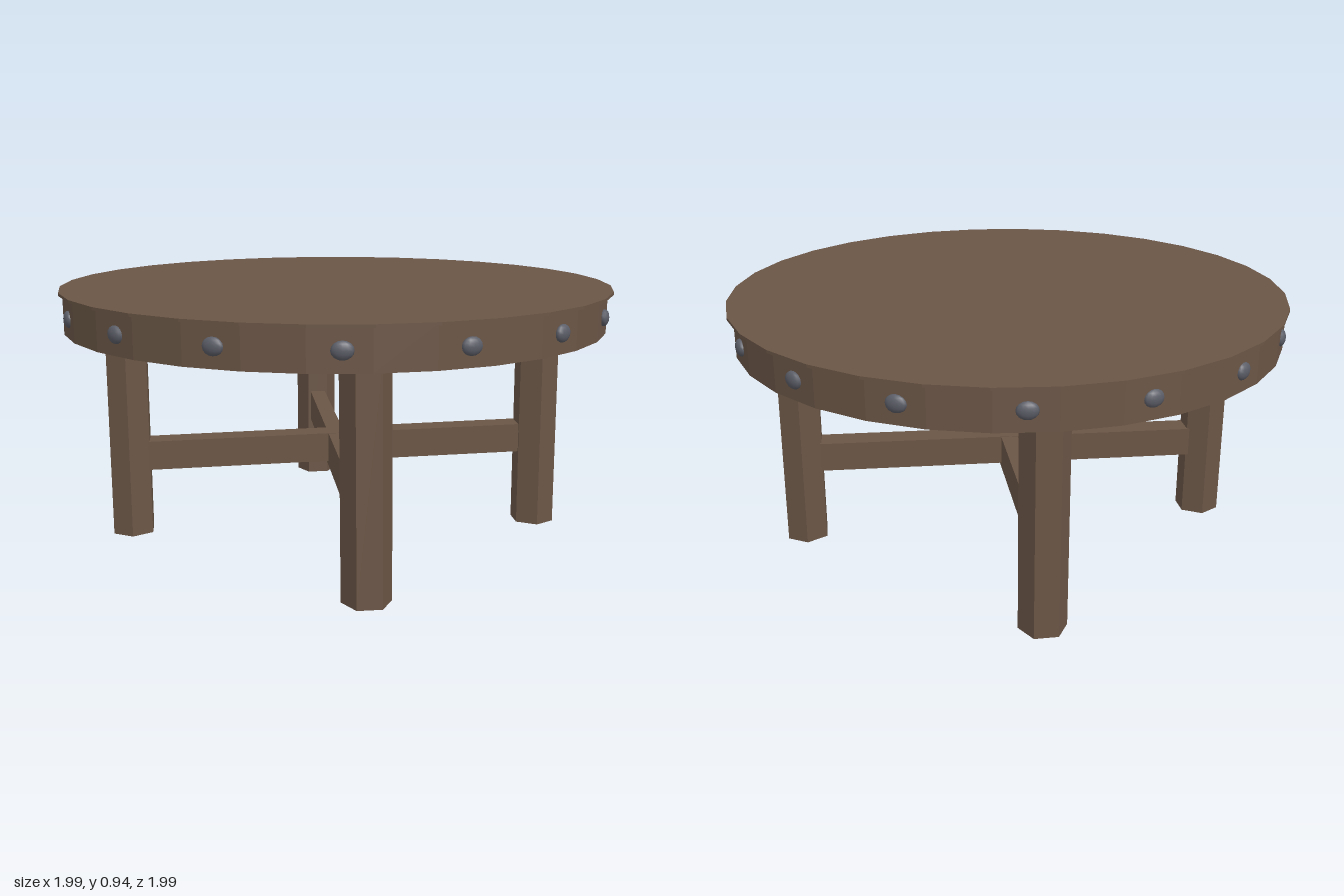
import * as THREE from 'three';

export function createModel() {
  const model = new THREE.Group();
  model.name = 'roundTable';

  const wood = new THREE.MeshStandardMaterial({ color: 0x6b5646 });
  wood.name = 'brown wood';
  wood.flatShading = true;
  const iron = new THREE.MeshStandardMaterial({ color: 0x5c5e68 });
  iron.name = 'grey iron';

  const add = (name, geometry, material, x, y, z) => {
    const mesh = new THREE.Mesh(geometry, material);
    mesh.name = name;
    mesh.position.set(x, y, z);
    model.add(mesh);
    return mesh;
  };

  // Thick table top with a thin overhanging lip
  add('tableTop', new THREE.CylinderGeometry(0.98, 0.98, 0.138, 32), wood, -0.003, 0.862, 0);
  add('topLip', new THREE.CylinderGeometry(0.997, 0.997, 0.01, 32), wood, 0, 0.933, -0.002);

  // Domed studs around the rim
  const studGeometry = new THREE.SphereGeometry(1, 12, 8);
  for (let i = 0; i < 16; i++) {
    const a = THREE.MathUtils.degToRad(-5.3 + i * 22.5);
    const r = i === 3 ? 0.988 : 0.977;
    const stud = add('rimStud', studGeometry, iron, Math.sin(a) * r, 0.861, Math.cos(a) * r);
    stud.scale.set(0.035, 0.029, 0.017);
    stud.rotation.y = a;
  }

  // Four hexagonal legs, each a little uneven: x, z, foot height, foot shift in x
  const legs = [
    [0.55, 0.543, 0.012, 0.009],
    [-0.543, 0.545, 0.01, 0],
    [-0.543, -0.543, 0.006, 0],
    [0.55, -0.54, 0, 0.008],
  ];
  for (const [x, z, foot, shift] of legs) {
    const height = 0.80 - foot;
    const geometry = new THREE.CylinderGeometry(0.083, 0.083, height, 6);
    geometry.rotateY(-Math.atan2(z, x));
    const p = geometry.attributes.position;
    for (let i = 0; i < p.count; i++) {
      if (p.getY(i) < 0) p.setX(i, p.getX(i) + shift);
    }
    geometry.computeVertexNormals();
    add('leg', geometry, wood, x, foot + height / 2, z);
  }

  // Crossed stretchers between opposite legs, one slightly tilted
  const level = add('levelStretcher', new THREE.BoxGeometry(1.42, 0.125, 0.062), wood, 0, 0.313, 0);
  level.rotation.y = -Math.PI / 4;
  const tilted = add('tiltedStretcher', new THREE.BoxGeometry(1.43, 0.108, 0.09), wood, -0.005, 0.323, 0.005);
  tilted.rotation.set(0, Math.PI / 4, 0.02);
  tilted.rotation.order = 'YZX';

  return model;
}
